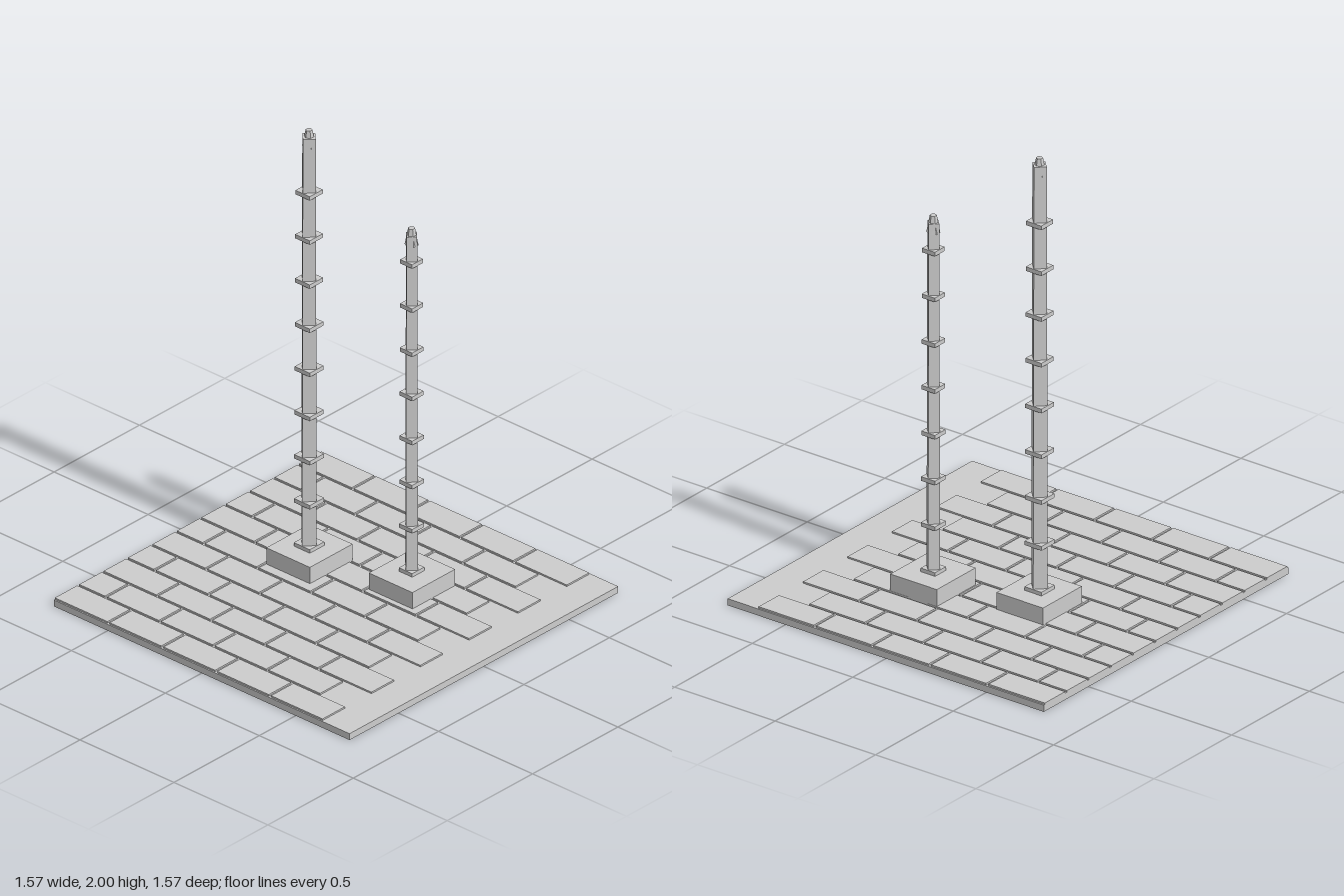
import * as THREE from 'three';

const stone = new THREE.MeshStandardMaterial({ color: 0xcccccc });
stone.name = 'grey stone';

function add(parent, name, geometry, x, y, z) {
  const mesh = new THREE.Mesh(geometry, stone);
  mesh.name = name;
  mesh.position.set(x, y, z);
  parent.add(mesh);
  return mesh;
}

// Prism with flat faces; four sides give a diamond with a corner facing front
function prism(top, bottom, height, sides) {
  return new THREE.CylinderGeometry(top, bottom, height, sides).toNonIndexed();
}
function flatPrism(...args) {
  const geometry = prism(...args);
  geometry.computeVertexNormals();
  return geometry;
}

// Slab with a running bond of raised pavers, leaving a bare strip on one side
function createPavement() {
  const group = new THREE.Group();
  group.name = 'pavement';
  const half = 0.787, rows = 11, slabTop = 0.029, paverTop = 0.036;
  const pitch = (2 * half) / rows, gap = 0.012;
  add(group, 'slab', new THREE.BoxGeometry(2 * half, slabTop, 2 * half), 0, slabTop / 2, 0);

  for (let row = 0; row < rows; row++) {
    const z = -half + pitch * (row + 0.5);
    const lengths = row % 2 ? [1, 2, 2, 2, 2] : [2, 2, 2, 2, 2];
    let x = -half;
    lengths.forEach((units, i) => {
      const length = units * pitch;
      const start = i === 0 ? x : x + gap / 2;
      const end = x + length - gap / 2;
      add(group, 'paver',
        new THREE.BoxGeometry(end - start, paverTop - slabTop + 0.004, pitch - gap),
        (start + end) / 2, (paverTop + slabTop - 0.004) / 2, z);
      x += length;
    });
  }
  return group;
}

// Tapered square mast turned 45 degrees, with square collars and a small cap
function createTower(name, x, z, { radius, topRadius, shaftTop, collars }) {
  const group = new THREE.Group();
  group.name = name;
  group.position.set(x, 0, z);

  add(group, 'pedestal', new THREE.BoxGeometry(0.232, 0.08, 0.25), 0.002, 0.07, 0);

  const shaftBase = 0.1;
  const height = shaftTop - shaftBase;
  add(group, 'shaft', flatPrism(topRadius, radius, height, 4), 0, shaftBase + height / 2, 0);

  for (let i = 0; i < collars; i++) {
    const y = 0.117 + i * 0.2;
    const t = (y - shaftBase) / height;
    const width = 2 * THREE.MathUtils.lerp(radius, topRadius, t) + 0.003;
    add(group, 'collar', new THREE.BoxGeometry(width, 0.018, width), 0, y, 0);
  }

  // Cap whose lower corners show through the shaft faces
  add(group, 'cap', flatPrism(0.014, 0.028, 0.075, 6), 0, shaftTop - 0.0075, 0);
  return group;
}

export function createModel() {
  const model = new THREE.Group();
  model.name = 'twin towers on paved base';
  model.add(createPavement());
  model.add(createTower('tallTower', -0.236, -0.102,
    { radius: 0.041, topRadius: 0.036, shaftTop: 1.97, collars: 9 }));
  model.add(createTower('shortTower', 0.197, -0.226,
    { radius: 0.034, topRadius: 0.03, shaftTop: 1.638, collars: 8 }));
  return model;
}
